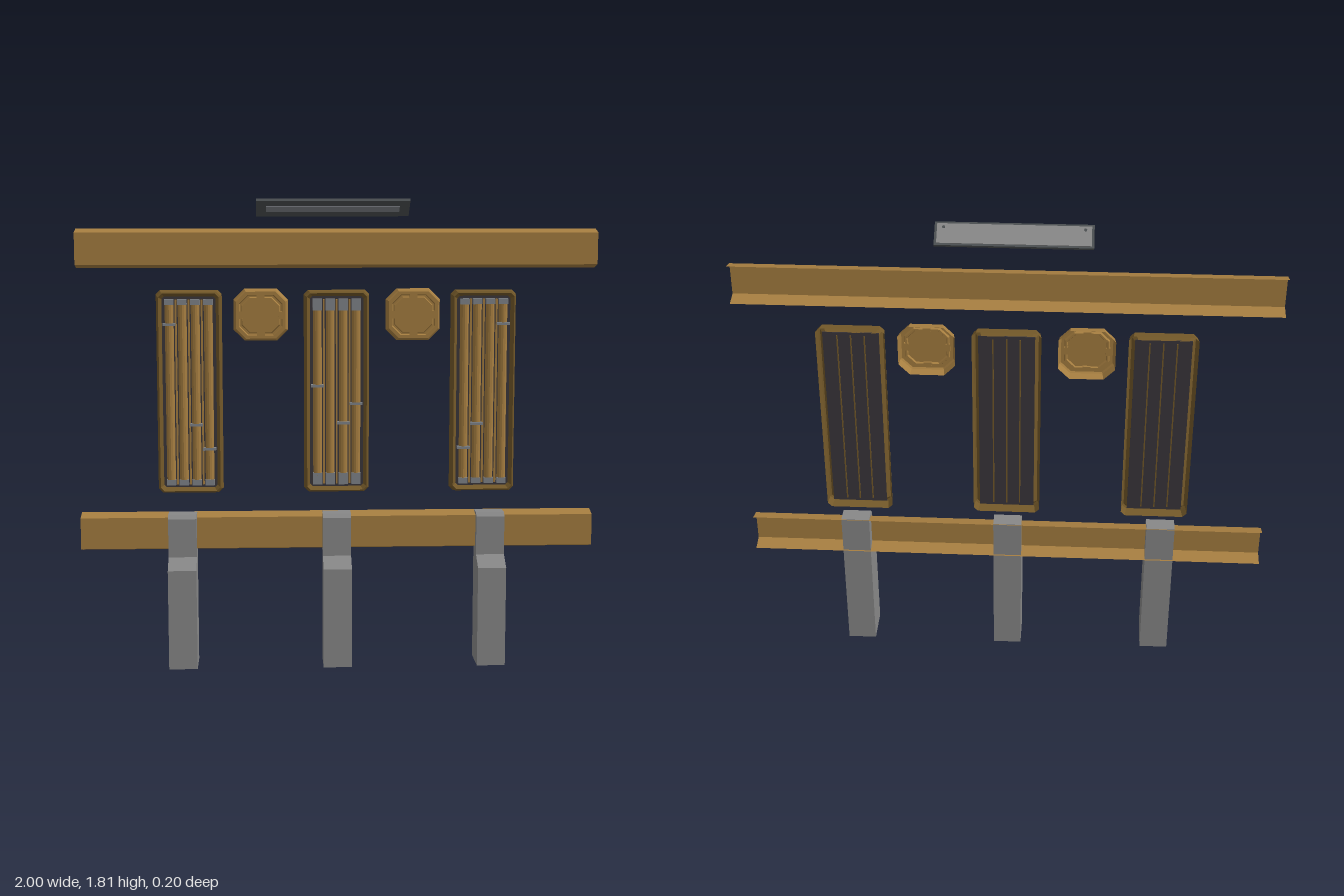
import * as THREE from 'three';

const mat = (name, color, side = THREE.FrontSide) => {
  const m = new THREE.MeshStandardMaterial({ color, side });
  m.name = name;
  return m;
};

function add(parent, name, geometry, material, x = 0, y = 0, z = 0) {
  const mesh = new THREE.Mesh(geometry, material);
  mesh.name = name;
  mesh.position.set(x, y, z);
  parent.add(mesh);
  return mesh;
}

function flat(geometry) {
  const g = geometry.index ? geometry.toNonIndexed() : geometry;
  g.computeVertexNormals();
  return g;
}

// Rectangle with cut corners, counter-clockwise from the front
function outline([w, h, cut, z]) {
  const a = w - cut, b = h - cut;
  return [[w, -b], [w, b], [a, h], [-a, h], [-w, b], [-w, -b], [-a, -h], [a, -h]]
    .map(([x, y]) => [x, y, z]);
}

// Pressed shell through cut-corner rings given as [halfWidth, halfHeight, cut, z]
function shell(rings, capped) {
  const loops = rings.map(outline);
  const out = [];
  for (let k = 0; k < loops.length - 1; k++) {
    for (let i = 0; i < 8; i++) {
      const j = (i + 1) % 8;
      const [a, b, c, d] = [loops[k][i], loops[k][j], loops[k + 1][j], loops[k + 1][i]];
      out.push(...a, ...b, ...c, ...a, ...c, ...d);
    }
  }
  if (capped) {
    const l = loops[loops.length - 1];
    for (let i = 1; i < 7; i++) out.push(...l[0], ...l[i], ...l[i + 1]);
  }
  const g = new THREE.BufferGeometry();
  g.setAttribute('position', new THREE.Float32BufferAttribute(out, 3));
  return flat(g);
}

// Folded sheet rail, open to the back with flared flanges
function railGeometry() {
  const g = new THREE.PlaneGeometry(2, 1, 1, 3);
  const profile = [[0.075, -0.085], [0.061, -0.03], [-0.061, -0.03], [-0.075, -0.085]];
  const p = g.attributes.position;
  for (let i = 0; i < p.count; i++) {
    const [y, z] = profile[Math.floor(i / 2)];
    p.setXYZ(i, p.getX(i), y, z);
  }
  return flat(g);
}

// Post side profile extruded across its width
function postGeometry() {
  const pts = [[0.065, 0], [0.065, 0.39], [0, 0.43], [0, 0.58], [-0.015, 0.595], [-0.08, 0.595], [-0.08, 0]];
  const shape = new THREE.Shape(pts.map(([z, y]) => new THREE.Vector2(z, y)));
  const g = new THREE.ExtrudeGeometry(shape, { depth: 0.11, bevelEnabled: false });
  g.rotateY(-Math.PI / 2);
  g.translate(0.055, 0, 0);
  return g;
}

export function createModel() {
  const model = new THREE.Group();
  model.name = 'guardRailKit';
  const bronze = mat('bronze', 0xa67e40, THREE.DoubleSide);
  const darkBronze = mat('darkBronze', 0x745929, THREE.DoubleSide);
  const grey = mat('grey', 0x888888);
  const steel = mat('steel', 0x80848a);
  const charcoal = mat('charcoal', 0x3a363b);
  const slate = mat('slate', 0x4c5052);

  // Rails
  const rail = railGeometry();
  add(model, 'upperRail', rail, bronze, 0, 1.62, 0);
  add(model, 'lowerRail', rail, bronze, 0, 0.52, 0);

  // Posts
  const post = postGeometry();
  for (const x of [-0.605, -0.005, 0.595]) add(model, 'post', post, grey, x);

  // Slatted panels; clips are [bar index, height]
  const frame = shell([
    [0.127, 0.395, 0.016, -0.098], [0.122, 0.39, 0.016, -0.058],
    [0.116, 0.384, 0.014, -0.054], [0.104, 0.372, 0.01, -0.072], [0.104, 0.372, 0.01, -0.082],
  ], false);
  const bar = flat(new THREE.CylinderGeometry(0.017, 0.017, 0.72, 6, 1, true, -Math.PI / 2, Math.PI));
  const clip = new THREE.BoxGeometry(0.05, 0.01, 0.026);
  const panels = [
    { x: -0.573, cap: 0.022, clips: [[0, 1.33], [2, 0.94], [3, 0.845]] },
    { x: -0.003, cap: 0.045, clips: [[0, 1.09], [2, 0.945], [3, 1.02]] },
    { x: 0.568, cap: 0.022, clips: [[0, 0.845], [1, 0.94], [3, 1.33]] },
  ];
  for (const { x, cap, clips } of panels) {
    const panel = new THREE.Group();
    panel.name = 'slattedPanel';
    panel.position.set(x, 1.065, 0);
    model.add(panel);
    add(panel, 'panelFrame', frame, darkBronze);
    add(panel, 'panelBacking', new THREE.BoxGeometry(0.208, 0.744, 0.004), charcoal, 0, 0, -0.08);
    for (let i = 0; i < 4; i++) {
      const bx = -0.075 + i * 0.05;
      add(panel, 'bar', bar, bronze, bx, 0, -0.073);
      for (const s of [-1, 1]) {
        add(panel, 'barCap', new THREE.BoxGeometry(0.036, cap, 0.022), steel, bx, s * (0.362 - cap / 2), -0.067);
      }
      // Seams between the bars, narrow on both faces
      if (i < 3) {
        add(panel, 'backSeam', new THREE.BoxGeometry(0.005, 0.72, 0.004), darkBronze, bx + 0.025, 0, -0.083);
        add(panel, 'frontRib', new THREE.BoxGeometry(0.007, 0.72, 0.012), bronze, bx + 0.025, 0, -0.073);
      }
    }
    for (const [i, y] of clips) add(panel, 'barClip', clip, steel, -0.075 + i * 0.05, y - 1.065, -0.066);
  }

  // Eight-sided plates with a recessed face
  const plate = shell([
    [0.105, 0.1, 0.042, -0.08], [0.1, 0.095, 0.04, -0.046], [0.095, 0.09, 0.038, -0.041],
    [0.083, 0.078, 0.034, -0.041], [0.08, 0.075, 0.033, -0.05],
    [0.074, 0.069, 0.031, -0.05], [0.071, 0.066, 0.03, -0.043],
  ], true);
  for (const x of [-0.296, 0.292]) {
    const group = new THREE.Group();
    group.name = 'eightSidedPlate';
    group.position.set(x, 1.366, 0);
    model.add(group);
    add(group, 'plateShell', plate, bronze);
    // Bridges across the groove
    for (const s of [-1, 1]) {
      add(group, 'sideBridge', new THREE.BoxGeometry(0.016, 0.03, 0.009), bronze, s * 0.077, 0, -0.0465);
      add(group, 'endBridge', new THREE.BoxGeometry(0.03, 0.016, 0.009), bronze, 0, s * 0.072, -0.0465);
    }
  }

  // Tilted lamp above the rails
  const lamp = new THREE.Group();
  lamp.name = 'lamp';
  lamp.position.set(-0.023, 1.775, 0.055);
  lamp.rotation.x = -0.62;
  model.add(lamp);
  add(lamp, 'lampBody', new THREE.BoxGeometry(0.575, 0.012, 0.096), slate);
  add(lamp, 'lampTop', new THREE.BoxGeometry(0.557, 0.004, 0.08), grey, 0, 0.006, 0);
  add(lamp, 'lampLens', new THREE.BoxGeometry(0.5, 0.004, 0.035), steel, 0, -0.006, 0);
  for (const s of [-1, 1]) {
    add(lamp, 'lampScrew', new THREE.CylinderGeometry(0.006, 0.006, 0.003, 8), slate, s * 0.255, 0.008, 0.025);
  }
  return model;
}
